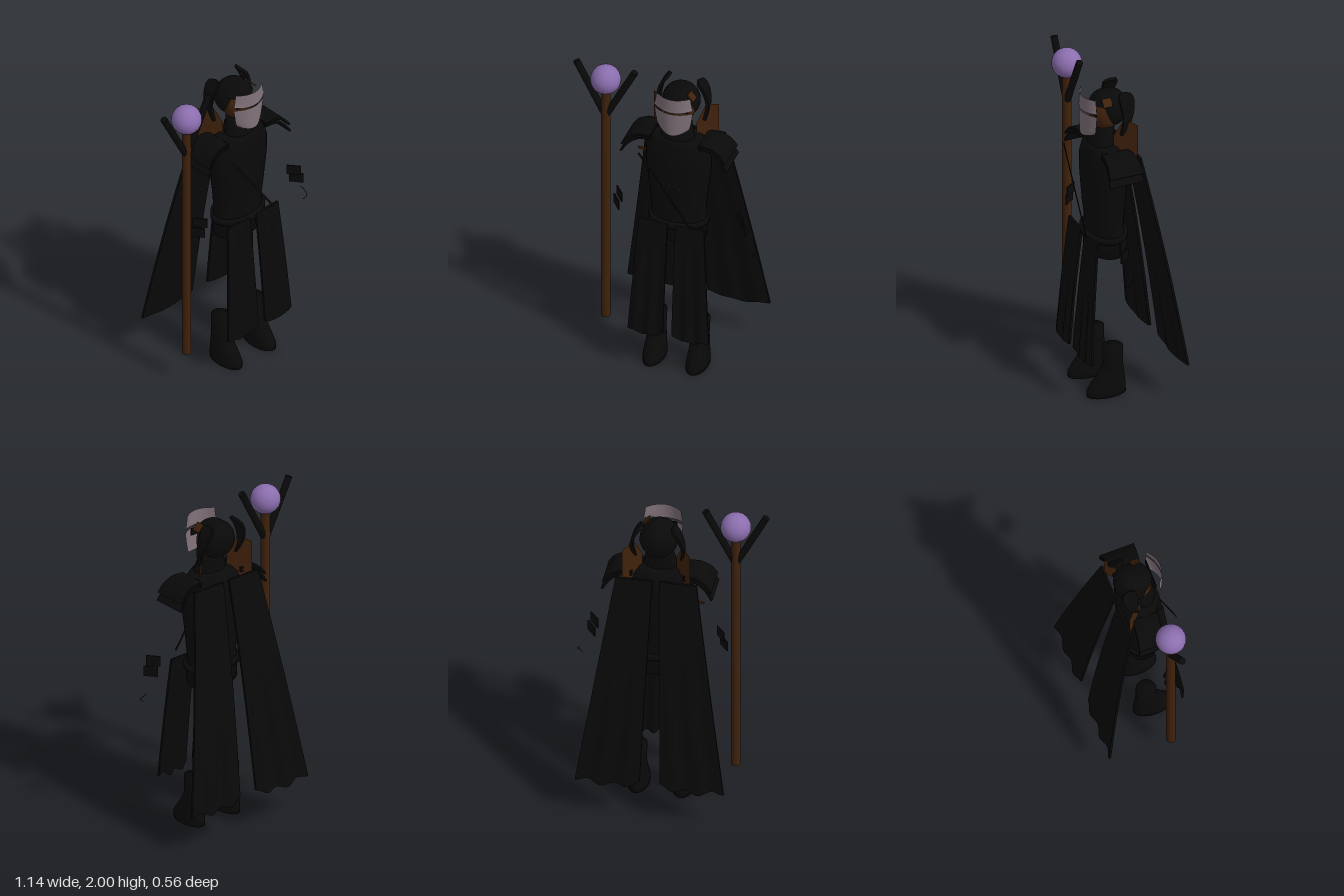
import * as THREE from 'three';

const CX = 0.07; // body centre line
const mat = (name, color, side = THREE.FrontSide) => {
  const m = new THREE.MeshStandardMaterial({ color, side });
  m.name = name;
  return m;
};

export function createModel() {
  const root = new THREE.Group();
  const black = mat('black cloth', 0x090909, THREE.DoubleSide);
  const brown = mat('brown leather', 0x40220c, THREE.DoubleSide);
  const bone = mat('mask grey', 0x82737b, THREE.DoubleSide);
  const violet = mat('violet orb', 0x8b6eae);

  const add = (name, geo, m, x = 0, y = 0, z = 0) => {
    const mesh = new THREE.Mesh(geo, m);
    mesh.name = name;
    mesh.position.set(x, y, z);
    root.add(mesh);
    return mesh;
  };
  const V = (a) => new THREE.Vector3(...a);

  // Moves every vertex of a geometry by a rule
  const warp = (geo, rule) => {
    const p = geo.attributes.position;
    for (let i = 0; i < p.count; i++) p.setXYZ(i, ...rule(p.getX(i), p.getY(i), p.getZ(i)));
    geo.computeVertexNormals();
    return geo;
  };

  // Closed body from elliptical rings [y, rx, rz, cz], listed bottom to top
  const loft = (rings, n = 28) => {
    const pos = [], idx = [];
    const all = [[rings[0][0], 0, 0, rings[0][3]], ...rings];
    const last = rings[rings.length - 1];
    all.push([last[0], 0, 0, last[3]]);
    all.forEach(([y, rx, rz, cz], r) => {
      for (let i = 0; i < n; i++) {
        const a = (i / n) * Math.PI * 2;
        pos.push(rx * Math.sin(a), y, cz + rz * Math.cos(a));
        if (r) {
          const j = (i + 1) % n, b = (r - 1) * n, t = r * n;
          idx.push(b + i, b + j, t + i, b + j, t + j, t + i);
        }
      }
    });
    const g = new THREE.BufferGeometry();
    g.setAttribute('position', new THREE.Float32BufferAttribute(pos, 3));
    g.setIndex(idx);
    g.computeVertexNormals();
    return g;
  };

  // Curved plate following a spine, with its width along z
  const blade = (pts, width, thick) => {
    const curve = new THREE.CatmullRomCurve3(pts.map(V));
    return warp(new THREE.BoxGeometry(1, 1, 1, 14, 1, 6), (x, y, z) => {
      const t = x + 0.5, p = curve.getPoint(t), d = curve.getTangent(t);
      return [p.x - d.y * y * thick, p.y + d.x * y * thick, p.z + z * width(t)];
    });
  };

  // Straight rod between two points
  const rod = (name, a, b, r, m) => {
    const A = V(a), B = V(b), d = B.clone().sub(A);
    const mesh = add(name, new THREE.CylinderGeometry(r, r, d.length(), 12), m);
    mesh.position.copy(A).add(B).multiplyScalar(0.5);
    mesh.quaternion.setFromUnitVectors(new THREE.Vector3(0, 1, 0), d.normalize());
  };

  // Hanging cloth panel with thickness and soft folds growing toward the hem
  const cloth = (name, s, top, bottom, inner, outer, bow) =>
    add(name, warp(new THREE.BoxGeometry(1, 1, 0.014, 32, 16, 1), (x, y, z) => {
      const u = s * x + 0.5, v = 0.5 - y;
      const a = inner[0] + (inner[1] - inner[0]) * v;
      const b = outer[0] + (outer[1] - outer[0]) * v;
      const fold = Math.cos(u * Math.PI * 5) * v;
      const yy = top[0] + (bottom[0] - top[0]) * v + fold * 0.01 - 0.025 * v * Math.sin(u * Math.PI);
      const zz = top[1] + (bottom[1] - top[1]) * v + bow * Math.sin(v * Math.PI) + fold * 0.009 + z;
      return [CX + s * (a + (b - a) * u), yy, zz];
    }), black);

  // Torso, belt and collar
  add('torso', loft([
    [0.89, 0.165, 0.11, 0.065], [1.0, 0.172, 0.115, 0.068], [1.06, 0.165, 0.1, 0.068],
    [1.2, 0.176, 0.115, 0.07], [1.4, 0.2, 0.128, 0.07], [1.5, 0.2, 0.125, 0.07],
    [1.57, 0.178, 0.11, 0.07], [1.605, 0.13, 0.09, 0.08],
  ]), black, CX);
  add('belt', loft([[0.995, 0.182, 0.13, 0.07], [1.03, 0.182, 0.13, 0.07]]), black, CX);
  add('collar', loft([
    [1.57, 0.12, 0.08, 0.09], [1.61, 0.1, 0.075, 0.09], [1.68, 0.085, 0.06, 0.075], [1.73, 0.07, 0.06, 0.06],
  ]), black, CX);

  // Head: brown face with a dark hair cap behind and above it
  add('face', new THREE.SphereGeometry(1, 28, 20), brown, CX, 1.79, 0.065).scale.set(0.095, 0.115, 0.085);
  add('hair', new THREE.SphereGeometry(1, 28, 20), black, CX, 1.815, 0.025).scale.set(0.113, 0.113, 0.1);
  add('fringe', new THREE.SphereGeometry(1, 28, 10, 0, Math.PI * 2, 0, 1.1), black, CX, 1.81, 0.06)
    .scale.set(0.112, 0.118, 0.1);
  add('eyeBand', new THREE.BoxGeometry(0.17, 0.045, 0.008), black, CX, 1.835, 0.152);
  const patch = add('headPatch', new THREE.BoxGeometry(0.055, 0.008, 0.055), brown, 0.155, 1.89, 0.085);
  patch.rotation.z = -0.85;

  // Curved mask in two pieces, leaving an eye slit
  const maskPart = (name, y0, y1, w0, w1, round) =>
    add(name, warp(new THREE.PlaneGeometry(2, 1, 20, 8), (x, y) => {
      const v = y + 0.5, w = w0 + (w1 - w0) * Math.sqrt(v);
      return [CX + x * w, y0 + (y1 - y0) * v + round * x * x * (1 - v), 0.212 - 0.048 * x * x];
    }), bone);
  maskPart('maskBrow', 1.836, 1.93, 0.122, 0.105, 0.012);
  maskPart('maskJaw', 1.675, 1.828, 0.09, 0.118, 0.025);

  for (const s of [1, -1]) {
    const side = s > 0 ? 'left' : 'right';
    const X = (d) => CX + s * d;

    // Crescent horn beside the head
    add(side + 'Horn', blade(
      [[X(0.088), 1.94, -0.02], [X(0.125), 1.89, -0.025], [X(0.152), 1.795, -0.015], [X(0.138), 1.69, 0.015]],
      (t) => 0.015 + 0.075 * Math.sin(Math.PI * Math.sqrt(t)), 0.018), black);

    // Standing leather collar wing, turned diagonally
    const wing = [[0.2, 1.53, -0.06], [0.2, 1.765, -0.06], [0.145, 1.795, 0], [0.1, 1.68, 0.05], [0.1, 1.55, 0.05]];
    const wg = new THREE.BufferGeometry();
    wg.setAttribute('position', new THREE.Float32BufferAttribute(wing.flatMap(([x, y, z]) => [X(x), y, z]), 3));
    wg.setIndex([0, 1, 2, 0, 2, 3, 0, 3, 4]);
    wg.computeVertexNormals();
    add(side + 'CollarWing', wg, brown);

    // Layered, arched shoulder plates
    for (const k of [0, 1]) {
      const plate = blade(
        [[0.15, 1.59 - k * 0.02], [0.22, 1.59 - k * 0.025], [0.28, 1.56 - k * 0.035], [0.318 + k * 0.007, 1.51 - k * 0.05]]
          .map(([x, y]) => [X(x), y, 0.065]),
        (t) => 0.17 + 0.045 * t, 0.012);
      add(side + 'ShoulderPlate', plate, black);
    }

    // Back cape and front skirt panels
    cloth(side + 'Cape', s, [1.57, -0.06], [0.26, -0.265], [0.022, 0.06], [0.24, 0.44], -0.012);
    cloth(side + 'SkirtPanel', s, [1.03, 0.195], [0.28, 0.262], [0.025, 0.027], [0.2, 0.25], 0.004);

    // Boots
    add(side + 'Boot', loft([
      [0, 0.063, 0.122, 0.112], [0.035, 0.063, 0.122, 0.113], [0.08, 0.06, 0.105, 0.1],
      [0.13, 0.055, 0.083, 0.083], [0.19, 0.052, 0.062, 0.07], [0.31, 0.058, 0.06, 0.07],
    ]), black, X(0.133));

    // Small staggered plates at each hand
    const hx = s > 0 ? 0.468 : -0.278;
    for (const [dx, y] of [[0, 1.112], [0.018, 1.05]]) {
      const p = add(side + 'HandPlate', new THREE.BoxGeometry(0.085, 0.064, 0.007), black, hx + s * dx, y, 0.122);
      p.rotation.y = -0.9;
    }
  }

  // Diagonal chest strap
  const strap = add('chestStrap', new THREE.BoxGeometry(0.012, 0.57, 0.003), black, 0.04, 1.285, 0.236);
  strap.rotation.z = 0.6;

  // Necklace beads
  for (let i = -2; i <= 2; i++)
    add('bead', new THREE.SphereGeometry(0.003, 8, 6), violet, CX + i * 0.032, 1.345 - 0.006 * i * i, 0.242);

  // Leather arm tab
  add('armTab', new THREE.BoxGeometry(0.05, 0.015, 0.008), brown, -0.175, 1.395, 0.02);

  // Small hook by the left hand
  add('hook', new THREE.TubeGeometry(new THREE.CatmullRomCurve3(
    [[0.55, 0.935, 0.088], [0.568, 0.905, 0.112], [0.555, 0.88, 0.135], [0.535, 0.868, 0.125]].map(V)),
    6, 0.002, 5), black);

  // Staff with forked head and orb
  rod('staffShaft', [-0.37, 0.21, 0.105], [-0.37, 1.83, 0.105], 0.028, brown);
  for (const s of [1, -1])
    rod('staffProng', [-0.37 + s * 0.005, 1.65, 0.105], [-0.37 + s * 0.18, 1.99, 0.105], 0.021, black);
  add('staffOrb', new THREE.SphereGeometry(0.09, 20, 14), violet, -0.37, 1.9, 0.105);

  return root;
}
